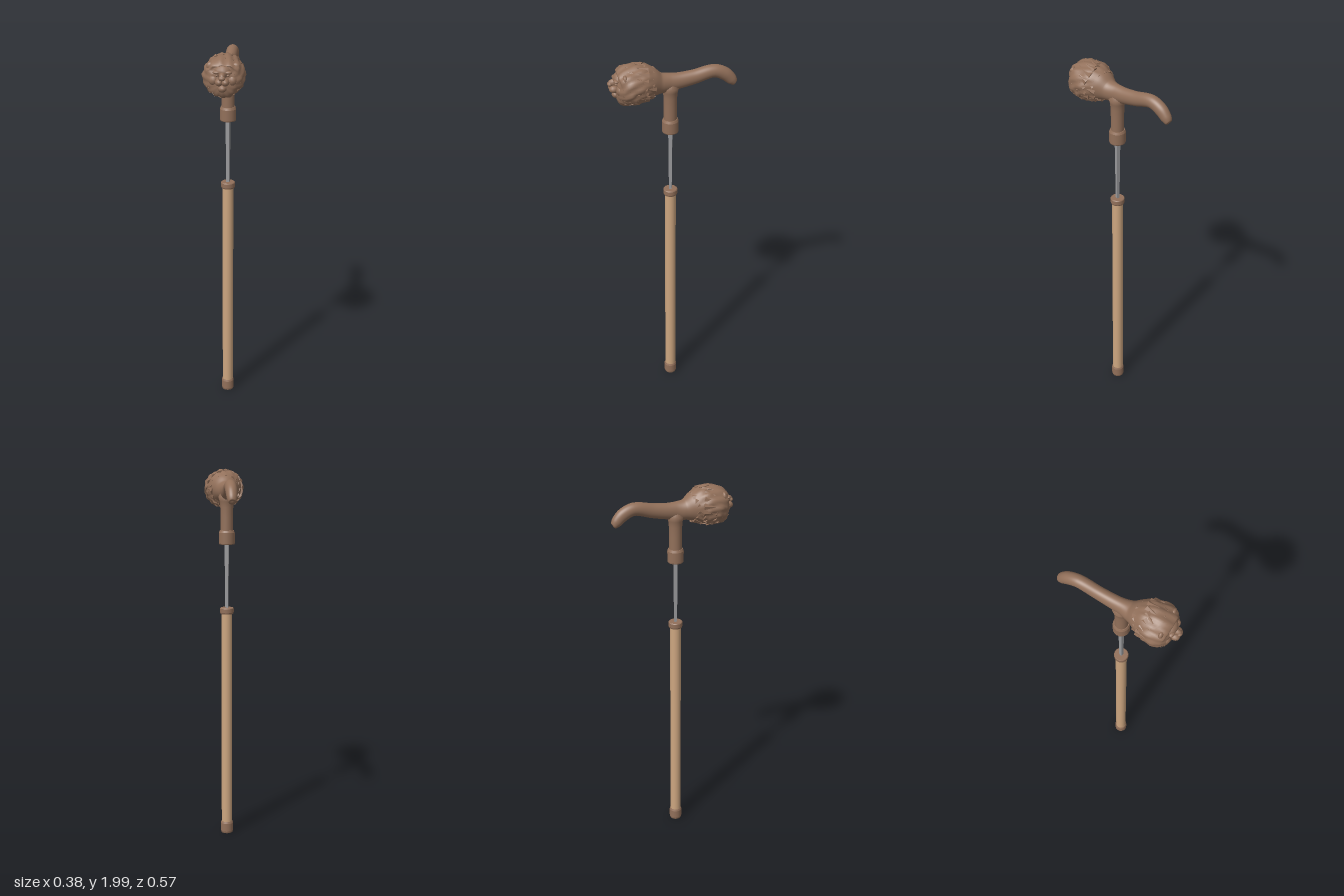
import * as THREE from 'three';
import { mergeGeometries } from 'three/addons/utils/BufferGeometryUtils.js';

const brown = new THREE.MeshStandardMaterial({ color: 0x92705a, name: 'carved brown' });
const tan = new THREE.MeshStandardMaterial({ color: 0xcda680, name: 'tan wood' });
const steel = new THREE.MeshStandardMaterial({ color: 0x9a9a9c, name: 'steel' });

const V = (x, y, z) => new THREE.Vector3(x, y, z);

function add(parent, name, geometry, material) {
  const mesh = new THREE.Mesh(geometry, material);
  mesh.name = name;
  parent.add(mesh);
  return mesh;
}

// Turned part with sharp edges: each straight run of the profile is its own lathe
function turned(profile, sides = 20) {
  const runs = [];
  for (let i = 0; i < profile.length - 1; i++) {
    const pts = [profile[i], profile[i + 1]].map(([r, y]) => new THREE.Vector2(r, y));
    runs.push(new THREE.LatheGeometry(pts, sides));
  }
  return mergeGeometries(runs);
}

// Faceted copy of a geometry
function faceted(geometry) {
  const g = geometry.index ? geometry.toNonIndexed() : geometry;
  g.computeVertexNormals();
  return g;
}

// Handle sections along its length: [z, centre height, half width, half height]
const sections = [
  [-0.329, 1.841, 0.001, 0.001], [-0.326, 1.843, 0.018, 0.016], [-0.31, 1.862, 0.026, 0.028],
  [-0.275, 1.895, 0.03, 0.033], [-0.22, 1.916, 0.031, 0.033], [-0.12, 1.895, 0.031, 0.037],
  [-0.05, 1.884, 0.033, 0.041], [0, 1.88, 0.036, 0.046], [0.05, 1.88, 0.049, 0.053],
  [0.1, 1.888, 0.077, 0.08], [0.15, 1.893, 0.099, 0.097], [0.2, 1.888, 0.104, 0.098],
  [0.24, 1.872, 0.09, 0.086], [0.265, 1.868, 0.062, 0.066], [0.278, 1.868, 0.001, 0.001],
];
const path = new THREE.CatmullRomCurve3(sections.map(s => V(0, s[1], s[0])), false, 'centripetal');
const radii = new THREE.CatmullRomCurve3(sections.map(s => V(s[2], s[3], 0)), false, 'centripetal');

// Loft of the grip, neck and mane; the mane gets swirling combed grooves
function handleLoft(rings = 84, sides = 48) {
  const pos = [], index = [];
  for (let i = 0; i <= rings; i++) {
    const u = i / rings, c = path.getPoint(u), r = radii.getPoint(u), t = path.getTangent(u);
    const hair = THREE.MathUtils.smoothstep(c.z, 0.08, 0.16);
    for (let j = 0; j < sides; j++) {
      const a = (j / sides) * Math.PI * 2;
      const groove = 1 + hair * (0.035 * Math.sin(a * 14 + c.z * 45) + 0.025 * Math.sin(a * 5 - c.z * 70));
      const x = Math.cos(a) * Math.max(r.x, 0.001) * groove;
      const h = Math.sin(a) * Math.max(r.y, 0.001) * groove;
      pos.push(x, c.y + h * t.z, c.z - h * t.y);
      if (i < rings) {
        const p = i * sides + j, q = i * sides + (j + 1) % sides;
        index.push(p, q, p + sides, q, q + sides, p + sides);
      }
    }
  }
  const g = new THREE.BufferGeometry();
  g.setAttribute('position', new THREE.Float32BufferAttribute(pos, 3));
  g.setIndex(index);
  g.computeVertexNormals();
  return g;
}

// Rings of flat pointed locks: [z, centre height, radius, count, length, outward lean]
function maneLocks() {
  const rows = [
    [0.115, 1.888, 0.08, 15, 0.06, 0.5], [0.155, 1.893, 0.094, 18, 0.06, 0.25],
    [0.195, 1.886, 0.094, 18, 0.055, 0.15], [0.225, 1.875, 0.082, 16, 0.05, 0.1],
    [0.24, 1.872, 0.064, 13, 0.045, 0.5],
  ];
  const locks = [];
  rows.forEach(([z, y, r, count, length, lean], k) => {
    for (let i = 0; i < count; i++) {
      const a = ((i + k * 0.5) / count) * Math.PI * 2;
      const wobble = Math.sin(i * 7.3 + k * 2.1);
      const out = V(Math.cos(a), Math.sin(a), 0);
      const around = V(-Math.sin(a), Math.cos(a), 0);
      const dir = V(0, 0, 1).addScaledVector(out, lean).addScaledVector(around, 0.4 + 0.35 * wobble).normalize();
      const side = dir.clone().cross(out).normalize();
      const m = new THREE.Matrix4().makeBasis(side, dir, side.clone().cross(dir));
      m.setPosition(out.x * r, y + out.y * r, z + 0.008 * wobble);
      const cone = new THREE.ConeGeometry(0.018, length, 5);
      cone.scale(1, 1, 0.6);
      locks.push(faceted(cone.applyMatrix4(m)));
    }
  });
  return mergeGeometries(locks);
}

// Carved face lumps: [name, x, y, z, half sizes], mirrored when x is not zero
const faceParts = [
  ['forehead', 0, 1.925, 0.25, 0.045, 0.034, 0.036],
  ['noseBridge', 0, 1.908, 0.277, 0.017, 0.02, 0.032],
  ['noseTip', 0, 1.902, 0.3, 0.017, 0.012, 0.012],
  ['muzzle', 0.015, 1.88, 0.282, 0.02, 0.019, 0.025],
  ['chin', 0, 1.846, 0.27, 0.022, 0.019, 0.022],
  ['brow', 0.027, 1.925, 0.272, 0.02, 0.009, 0.013],
  ['eye', 0.027, 1.911, 0.272, 0.009, 0.007, 0.009],
  ['cheek', 0.045, 1.883, 0.255, 0.025, 0.027, 0.022],
  ['ear', 0.062, 1.945, 0.235, 0.02, 0.021, 0.012],
];

export function createModel() {
  const model = new THREE.Group();
  model.name = 'swordCane';

  // Cane axis, slightly off centre
  const cane = new THREE.Group();
  cane.name = 'cane';
  cane.position.set(0.008, 0, 0.01);
  model.add(cane);

  // Lower cane: foot, shaft and mouth ring
  add(cane, 'foot', turned([[0, 0.005], [0.031, 0.005], [0.034, 0.015], [0.034, 0.06], [0.03, 0.07], [0.027, 0.07]]), brown);
  add(cane, 'shaft', new THREE.CylinderGeometry(0.029, 0.029, 1.18, 24).translate(0, 0.65, 0), tan);
  add(cane, 'mouthRing', turned([[0.028, 1.237], [0.034, 1.237], [0.037, 1.245], [0.037, 1.266],
    [0.034, 1.27], [0, 1.27]]), brown);

  // Tapering four-sided blade
  const blade = faceted(new THREE.CylinderGeometry(0.015, 0.01, 0.37, 4).translate(0, 1.44, 0));
  add(cane, 'blade', blade, steel);

  // Collar and stem under the handle
  add(cane, 'collar', turned([[0, 1.607], [0.04, 1.607], [0.042, 1.612], [0.042, 1.668], [0.037, 1.68], [0.03, 1.68]]), brown);
  const stem = [[0.033, 1.675], [0.033, 1.75], [0.034, 1.8], [0.037, 1.83], [0.045, 1.853], [0.03, 1.88]];
  add(cane, 'stem', new THREE.LatheGeometry(stem.map(p => new THREE.Vector2(...p)), 24), brown);

  // Handle with carved animal head, turned on the cane axis
  const handle = new THREE.Group();
  handle.name = 'handle';
  handle.rotation.y = -0.52;
  cane.add(handle);
  add(handle, 'gripAndMane', handleLoft(), brown);
  add(handle, 'maneLocks', maneLocks(), brown);
  for (const [name, x, y, z, sx, sy, sz] of faceParts) {
    for (const side of x ? [1, -1] : [1]) {
      const lump = new THREE.SphereGeometry(1, 12, 8).scale(sx, sy, sz).translate(x * side, y, z);
      add(handle, name, lump, brown);
    }
  }
  return model;
}
